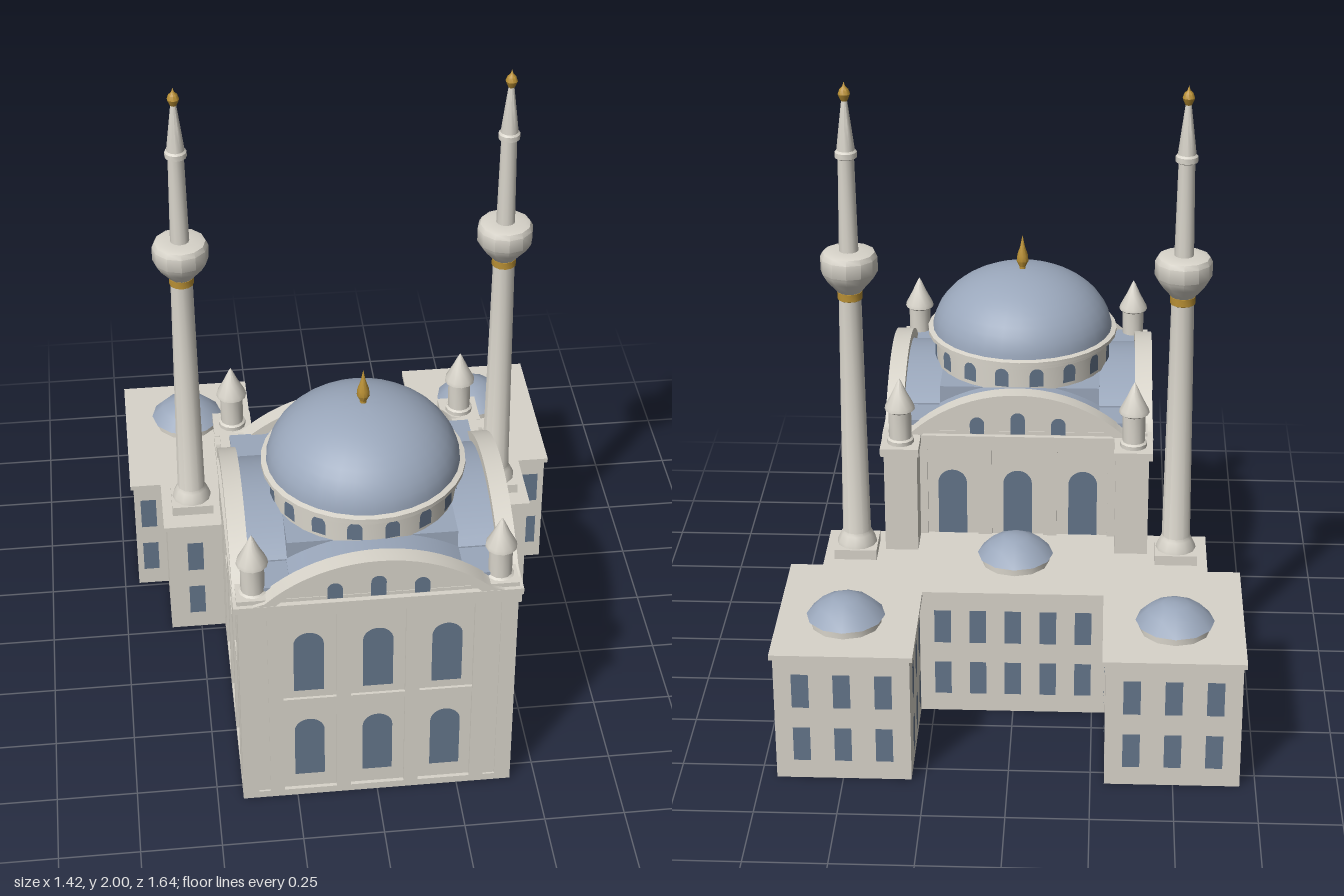
import * as THREE from 'three';
import { toCreasedNormals } from 'three/addons/utils/BufferGeometryUtils.js';

const mat = (name, color, side = THREE.FrontSide) =>
  Object.assign(new THREE.MeshStandardMaterial({ color, side }), { name });

export function createModel() {
  const stone = mat('stone', 0xd8d4ca, THREE.DoubleSide);
  const lead = mat('leadRoof', 0x9aa7bb);
  const glass = mat('windowGlass', 0x64758a);
  const gold = mat('gold', 0xb88f34);
  const model = new THREE.Group();
  model.name = 'domedHall';
  const CZ = 0.39; // hall centre in z
  const HALF = 0.408; // hall half width

  const add = (parent, name, geometry, material, x = 0, y = 0, z = 0, ry = 0) => {
    const m = new THREE.Mesh(geometry, material);
    m.name = name;
    m.position.set(x, y, z);
    m.rotation.y = ry;
    parent.add(m);
    return m;
  };
  const group = (name, x, y, z, ry = 0) => {
    const g = new THREE.Group();
    g.name = name;
    g.position.set(x, y, z);
    g.rotation.y = ry;
    model.add(g);
    return g;
  };
  // Box given by its bottom height
  const box = (parent, name, w, h, d, x, y, z, material = stone) =>
    add(parent, name, new THREE.BoxGeometry(w, h, d), material, x, y + h / 2, z);
  // Hollow box standing on the ground without a floor
  const openBox = (name, w, h, d, x, z) => {
    const g = box(model, name, w, h, d, x, 0, z).geometry;
    const index = Array.from(g.index.array);
    index.splice(18, 6);
    g.setIndex(index);
    g.clearGroups();
  };
  // Turned part from [radius, height] pairs, bottom to top
  const turned = (parent, name, profile, sides, material, x = 0, y = 0, z = 0) =>
    add(parent, name, toCreasedNormals(new THREE.LatheGeometry(
      profile.map(([r, h]) => new THREE.Vector2(r, h)), sides), 0.65), material, x, y, z);
  const domeProfile = (r, y, h, n = 12) => Array.from({ length: n + 1 }, (_, i) => {
    const a = (i / n) * Math.PI / 2;
    return [i === n ? 0 : r * Math.cos(a), y + h * Math.sin(a)];
  });
  const extrude = (shape, depth) => toCreasedNormals(
    new THREE.ExtrudeGeometry(shape, { depth, bevelEnabled: false }), 0.5);
  // Points of a segmental arc, left to right
  const arc = (half, base, peak, n = 20) => {
    const rise = peak - base, R = (half * half + rise * rise) / (2 * rise);
    const a = Math.asin(half / R);
    return Array.from({ length: n + 1 }, (_, i) => {
      const t = -a + (2 * a * i) / n;
      return new THREE.Vector2(R * Math.sin(t), peak - R + R * Math.cos(t));
    });
  };
  const v = (x, y) => new THREE.Vector2(x, y);

  // Window plates
  const archWindow = (w, h) => {
    const s = new THREE.Shape();
    s.moveTo(-w / 2, 0);
    s.lineTo(w / 2, 0);
    s.lineTo(w / 2, h - w / 2);
    s.absarc(0, h - w / 2, w / 2, 0, Math.PI, false);
    s.closePath();
    return new THREE.ShapeGeometry(s, 8);
  };
  const tallWindow = archWindow(0.092, 0.23);
  const gableWindow = archWindow(0.046, 0.058);
  const gableWindowTall = archWindow(0.046, 0.075);
  const drumWindow = archWindow(0.046, 0.062);
  const squareWindow = new THREE.PlaneGeometry(0.052, 0.115);

  // Hall body and cornices
  openBox('hallBody', HALF * 2, 0.77, HALF * 2, 0, CZ);
  box(model, 'hallCornice', 0.866, 0.022, 0.862, 0, 0.768, CZ);
  box(model, 'corniceUpper', 0.83, 0.012, 0.83, 0, 0.79, CZ);
  box(model, 'roofBase', 0.77, 0.02, 0.76, 0, 0.8, CZ, lead);

  // Four matching facades with curved gables
  const gableOuter = [v(-0.41, 0.785), v(-0.375, 0.79), ...arc(0.34, 0.8, 0.935), v(0.375, 0.79), v(0.41, 0.785)];
  const gableShape = new THREE.Shape([v(-0.41, 0.77), v(0.41, 0.77), ...gableOuter.slice().reverse()]);
  const gableInner = arc(0.325, 0.775, 0.904);
  const rimShape = new THREE.Shape([...gableOuter.slice().reverse(), v(-0.41, 0.775), ...gableInner, v(0.41, 0.775)]);
  const gableGeo = extrude(gableShape, 0.035);
  const rimGeo = extrude(rimShape, 0.056);
  for (let i = 0; i < 4; i++) {
    const f = group('facade', 0, 0, CZ, (i * Math.PI) / 2);
    for (const x of [-0.395, -0.312, -0.105, 0.105, 0.312, 0.395]) {
      const w = Math.abs(x) > 0.35 ? 0.05 : 0.044;
      box(f, 'pilaster', w, 0.71, 0.012, x, 0.025, HALF + 0.006);
    }
    box(f, 'plinth', 0.84, 0.025, 0.012, 0, 0, HALF + 0.006);
    box(f, 'middleBand', 0.62, 0.022, 0.009, 0, 0.378, HALF + 0.0045);
    box(f, 'frieze', 0.84, 0.035, 0.012, 0, 0.735, HALF + 0.006);
    for (const x of [-0.21, 0, 0.21])
      for (const y of [0.08, 0.43]) add(f, 'archedWindow', tallWindow, glass, x, y, HALF + 0.003);
    add(f, 'gable', gableGeo, stone, 0, 0, HALF - 0.03);
    add(f, 'gableRim', rimGeo, stone, 0, 0, HALF - 0.034);
    for (const x of [-0.13, 0.13]) add(f, 'gableWindow', gableWindow, glass, x, 0.792, HALF + 0.008);
    add(f, 'gableWindow', gableWindowTall, glass, 0, 0.792, HALF + 0.008);
  }

  // Crossing barrel roofs around a square base
  const vaultGeo = extrude(new THREE.Shape(
    [v(-0.26, 0.8), v(0.26, 0.8), ...arc(0.26, 0.825, 0.897).reverse()]), 0.76);
  vaultGeo.translate(0, 0, -0.38);
  for (const ry of [0, Math.PI / 2]) add(model, 'barrelRoof', vaultGeo, lead, 0, 0, CZ, ry);
  box(model, 'drumBase', 0.516, 0.075, 0.516, 0, 0.81, CZ, lead);

  // Drum, main dome and finial
  turned(model, 'drum', [[0.285, 0.81], [0.285, 0.962], [0.298, 0.966], [0.298, 0.978], [0.312, 0.982],
    [0.312, 0.995], [0.29, 1.0]], 32, stone, 0, 0, CZ);
  for (let i = 0; i < 16; i++) {
    const a = ((i + 0.5) * Math.PI) / 8;
    add(model, 'drumWindow', drumWindow, glass, 0.289 * Math.sin(a), 0.9, CZ + 0.289 * Math.cos(a), a);
  }
  turned(model, 'mainDome', domeProfile(0.297, 0.985, 0.214), 32, lead, 0, 0, CZ);
  turned(model, 'domeFinial', [[0.012, 1.19], [0.01, 1.205], [0.02, 1.225], [0.018, 1.245], [0.008, 1.275], [0, 1.315]],
    10, gold, 0, 0, CZ);

  // Corner piers and turrets
  for (const sx of [-1, 1]) {
    openBox('rearPier', 0.105, 0.77, 0.115, sx * 0.367, -0.087);
    openBox('frontPier', 0.08, 0.77, 0.08, sx * 0.374, CZ + 0.374);
    box(model, 'rearPierCornice', 0.122, 0.026, 0.125, sx * 0.37, 0.766, -0.088);
    box(model, 'frontCornerBlock', 0.1, 0.03, 0.1, sx * 0.372, 0.775, 0.758);
    for (const z of [0.755, -0.09]) {
      turned(model, 'turret', [[0.043, 0.785], [0.043, 0.805], [0.036, 0.81], [0.036, 0.9], [0.048, 0.908],
        [0.046, 0.92], [0.024, 0.962], [0.008, 0.998], [0, 1.012]], 12, stone, sx * 0.37, 0, z);
    }
  }

  // Rear wing: U-shaped plan drawn as (x, -z), half of it mirrored
  const wingPlan = (o, startX) => {
    const half = [[startX, 0.02], [0.6 + o, 0.02], [0.6 + o, 0.265 - o], [0.702 + o, 0.265 - o],
      [0.702 + o, 0.81 + o], [0.292 - o, 0.81 + o], [0.292 - o, 0.41 + o]];
    return [...half, ...half.slice().reverse().map(([x, y]) => [-x, y])].map(([x, y]) => v(x, y));
  };
  const walls = wingPlan(0, 0.4);
  for (let i = 1; i < walls.length; i++) {
    const a = walls[i - 1], d = walls[i].clone().sub(a);
    add(model, 'rearWingWall', new THREE.PlaneGeometry(d.length(), 0.42), stone,
      a.x + d.x / 2, 0.21, -a.y - d.y / 2, Math.atan2(d.y, d.x));
  }
  const wingRoof = new THREE.ExtrudeGeometry(new THREE.Shape(wingPlan(0.01, 0.4)), { depth: 0.016, bevelEnabled: false });
  add(model, 'rearWingRoof', wingRoof.rotateX(-Math.PI / 2), stone, 0, 0.416, 0);

  // Rear wing windows in two storeys
  const pair = (x, z, ry) => {
    for (const y of [0.122, 0.307]) add(model, 'wingWindow', squareWindow, glass, x, y, z, ry);
  };
  for (const sx of [-1, 1]) {
    pair(sx * 0.51, -0.016, 0);
    pair(sx * 0.655, -0.261, 0);
    for (let i = 0; i < 5; i++) pair(sx * 0.706, -0.32 - i * 0.108, sx * Math.PI / 2);
    for (let i = 0; i < 3; i++) {
      pair(sx * (0.372 + i * 0.125), -0.814, Math.PI);
      pair(sx * 0.288, -0.49 - i * 0.12, -sx * Math.PI / 2);
    }
  }
  for (let i = -2; i <= 2; i++) pair(i * 0.11, -0.414, Math.PI);

  // Small wing domes
  for (const [x, z] of [[-0.5, -0.61], [0.5, -0.61], [0, -0.2]]) {
    turned(model, 'smallDomeBase', [[0.108, 0.425], [0.108, 0.462]], 12, stone, x, 0, z);
    turned(model, 'smallDome', [[0.1, 0.455], [0.12, 0.459], [0.085, 0.495], [0.04, 0.517], [0, 0.521]],
      12, lead, x, 0, z);
  }

  // Minarets
  for (const sx of [-1, 1]) {
    const m = group('minaret', sx * 0.51, 0, -0.15);
    box(m, 'minaretPlinth', 0.135, 0.035, 0.135, 0, 0.43, 0);
    turned(m, 'minaretShaft', [[0.064, 0.462], [0.062, 0.475], [0.05, 0.5], [0.045, 0.51], [0.035, 1.31]], 12, stone);
    turned(m, 'goldRing', [[0.034, 1.305], [0.039, 1.308], [0.039, 1.332], [0.034, 1.334]], 12, gold);
    turned(m, 'balcony', [[0.036, 1.33], [0.046, 1.342], [0.072, 1.372], [0.084, 1.392], [0.088, 1.4], [0.088, 1.445],
      [0.08, 1.46], [0.066, 1.465], [0.03, 1.465]], 12, stone);
    turned(m, 'upperShaft', [[0.03, 1.46], [0.025, 1.76], [0.034, 1.765], [0.034, 1.782], [0.028, 1.788],
      [0.018, 1.87], [0.008, 1.95]], 12, stone);
    turned(m, 'minaretFinial', [[0.006, 1.935], [0.012, 1.945], [0.019, 1.962], [0.014, 1.976], [0.005, 1.985], [0, 2.0]],
      10, gold);
  }
  return model;
}
